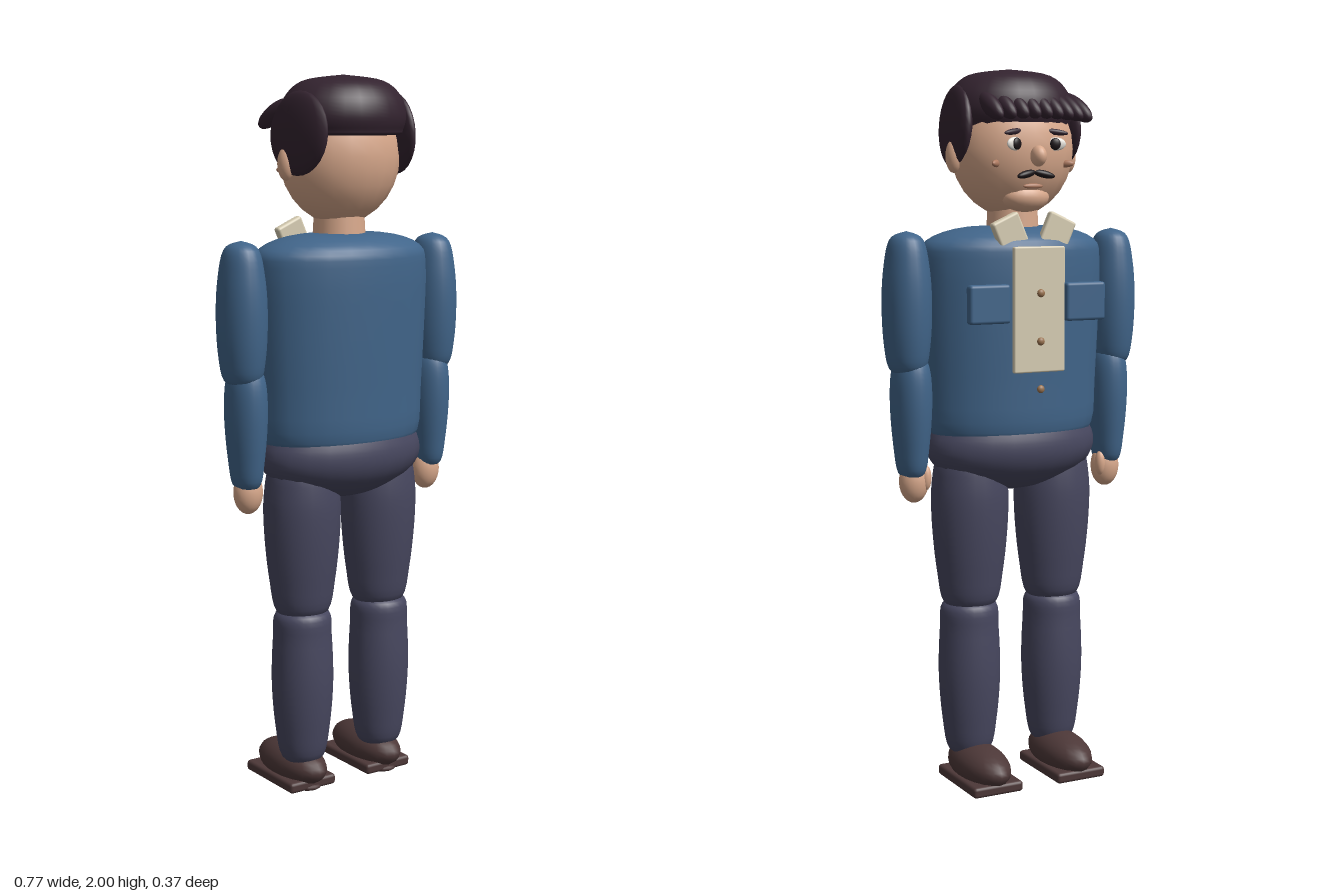
import * as THREE from 'three';
import { RoundedBoxGeometry } from 'three/addons/geometries/RoundedBoxGeometry.js';

const mat = (name, color) => {
  const m = new THREE.MeshStandardMaterial({ color });
  m.name = name;
  return m;
};

export function createModel() {
  const model = new THREE.Group();
  model.name = 'standingMan';
  const shirt = mat('shirtBlue', 0x41658a);
  const trousers = mat('trouserSlate', 0x47475f);
  const skin = mat('skin', 0xd9a98c);
  const hair = mat('hairDark', 0x33232f);
  const shoe = mat('shoeBrown', 0x4d3838);
  const cream = mat('collarCream', 0xd8ceb4);
  const white = mat('eyeWhite', 0xeeeae2);
  const dark = mat('pupilDark', 0x1c1518);
  const blush = mat('cheekTan', 0xb07c62);
  const brass = mat('buttonBrown', 0x9a7350);

  const add = (parent, name, geo, material, pos = [0, 0, 0], rot = [0, 0, 0]) => {
    const mesh = new THREE.Mesh(geo, material);
    mesh.name = name;
    mesh.position.set(...pos);
    mesh.rotation.set(...rot);
    parent.add(mesh);
    return mesh;
  };
  const ellipsoid = (parent, name, material, pos, radii, rot) => {
    const mesh = add(parent, name, new THREE.SphereGeometry(1, 20, 14), material, pos, rot);
    mesh.scale.set(...radii);
    return mesh;
  };
  // Rounded body part turned from [radius, y] points, flattened in z
  const turned = (parent, name, material, profile, pos, depth = 1, rot) => {
    const curve = new THREE.SplineCurve(profile.map(p => new THREE.Vector2(...p)));
    const pts = curve.getPoints(28);
    pts.forEach(p => { p.x = Math.max(0, p.x); });
    const mesh = add(parent, name, new THREE.LatheGeometry(pts, 24), material, pos, rot);
    mesh.scale.z = depth;
    return mesh;
  };
  const box = (parent, name, material, size, pos, rot) =>
    add(parent, name, new RoundedBoxGeometry(...size, 2, Math.min(...size) * 0.3), material, pos, rot);

  // Torso and hips
  turned(model, 'torso', shirt, [[0, 0.99], [0.19, 0.995], [0.246, 1.02], [0.256, 1.15],
    [0.266, 1.35], [0.268, 1.48], [0.25, 1.538], [0.15, 1.572], [0, 1.578]], [0, 0, 0.013], 0.6);
  turned(model, 'hips', trousers, [[0, 1.035], [0.2, 1.032], [0.243, 1.005], [0.25, 0.95],
    [0.21, 0.9], [0.12, 0.858], [0, 0.838]].reverse(), [0, 0, 0.013], 0.61);
  add(model, 'neck', new THREE.CylinderGeometry(0.068, 0.075, 0.12, 20), skin, [0, 1.59, 0.005]);

  // Shirt front
  box(model, 'placket', cream, [0.155, 0.34, 0.016], [0, 1.355, -0.15]);
  for (const y of [1.4, 1.27, 1.14])
    ellipsoid(model, 'button', brass, [0, y, -0.163], [0.011, 0.011, 0.008]);

  for (const s of [1, -1]) {
    const side = s > 0 ? 'left' : 'right';
    box(model, side + 'Collar', cream, [0.085, 0.125, 0.026], [s * 0.065, 1.545, -0.117], [0, 0, -s * 0.42]);
    box(model, side + 'Pocket', shirt, [0.122, 0.105, 0.03], [s * 0.146, 1.373, -0.14]);

    // Arm
    const arm = new THREE.Group();
    arm.name = side + 'Arm';
    model.add(arm);
    turned(arm, 'upperArm', shirt, [[0, 1.18], [0.045, 1.19], [0.061, 1.26], [0.066, 1.37],
      [0.06, 1.47], [0.043, 1.545], [0, 1.566]], [s * 0.318, 0, 0.01], 1.2);
    turned(arm, 'forearm', shirt, [[0, 0.9], [0.034, 0.905], [0.047, 0.98], [0.055, 1.09],
      [0.052, 1.18], [0.036, 1.225], [0, 1.24]], [s * 0.308, 0, 0.01], 1.26);
    ellipsoid(arm, 'hand', skin, [s * 0.302, 0.885, 0.008], [0.042, 0.06, 0.037]);
    ellipsoid(arm, 'thumb', skin, [s * 0.275, 0.895, -0.012], [0.015, 0.035, 0.016]);

    // Leg
    const leg = new THREE.Group();
    leg.name = side + 'Leg';
    model.add(leg);
    turned(leg, 'thigh', trousers, [[0, 0.515], [0.072, 0.525], [0.095, 0.62], [0.109, 0.76],
      [0.108, 0.87], [0.085, 0.95], [0, 0.98]], [s * 0.13, 0, 0.013], 0.91);
    turned(leg, 'shin', trousers, [[0, 0.09], [0.058, 0.1], [0.078, 0.19], [0.088, 0.32],
      [0.084, 0.45], [0.074, 0.525], [0, 0.54]], [s * 0.132, 0, 0.015], 0.96);
    ellipsoid(leg, 'shoe', shoe, [s * 0.13, 0.068, -0.042], [0.071, 0.058, 0.143]);
    box(leg, 'sole', shoe, [0.152, 0.03, 0.24], [s * 0.131, 0.03, -0.05]);
    ellipsoid(leg, 'tread', shoe, [s * 0.131, 0.02, -0.04], [0.06, 0.02, 0.12]);
  }

  // Head
  const head = new THREE.Group();
  head.name = 'head';
  model.add(head);
  const c = [0, 1.785, 0.007], r = [0.175, 0.185, 0.145];
  const faceZ = (x, y) => c[2] - r[2] * Math.sqrt(1 - (x / r[0]) ** 2 - ((y - c[1]) / r[1]) ** 2);
  ellipsoid(head, 'skull', skin, c, r);
  ellipsoid(head, 'chin', skin, [0, 1.655, -0.07], [0.07, 0.04, 0.045]);
  ellipsoid(head, 'nose', skin, [0, 1.765, -0.147], [0.021, 0.028, 0.027]);
  ellipsoid(head, 'mouth', blush, [0, 1.685, faceZ(0, 1.685) - 0.001], [0.03, 0.007, 0.006]);
  for (const s of [1, -1]) {
    ellipsoid(head, 'ear', skin, [s * 0.176, 1.765, 0.01], [0.022, 0.045, 0.025]);
    const turn = s * 0.3;
    ellipsoid(head, 'eyeWhite', white, [s * 0.06, 1.797, faceZ(0.06, 1.797)], [0.03, 0.018, 0.008], [0, turn, 0]);
    ellipsoid(head, 'pupil', dark, [s * 0.058, 1.797, faceZ(0.058, 1.797) - 0.005], [0.015, 0.016, 0.007], [0, turn, 0]);
    ellipsoid(head, 'eyebrow', hair, [s * 0.062, 1.829, faceZ(0.062, 1.829) - 0.002], [0.036, 0.008, 0.008], [0, turn, -s * 0.12]);
    ellipsoid(head, 'moustache', dark, [s * 0.026, 1.717, faceZ(0.026, 1.717) - 0.003], [0.032, 0.01, 0.011], [0, s * 0.2, -s * 0.22]);
    ellipsoid(head, 'cheek', blush, [s * 0.105, 1.745, faceZ(0.105, 1.745)], [0.024, 0.01, 0.008], [0, s * 0.7, 0]);
  }

  // Hair: flat-bottomed cap, side tufts and a swept fringe
  turned(head, 'hairCap', hair, [[0, 1.84], [0.15, 1.84], [0.172, 1.855], [0.18, 1.895],
    [0.162, 1.945], [0.11, 1.985], [0, 2]], [0, 0, 0.025], 0.88);
  for (const s of [1, -1])
    ellipsoid(head, 'sideHair', hair, [s * 0.155, 1.845, 0.042], [0.03, 0.112, 0.113], [0, -s * 0.12, s * 0.06]);
  for (let i = 0; i < 9; i++) {
    const x = -0.158 + i * 0.034;
    const back = 0.04 * (x / 0.16) ** 2;
    ellipsoid(head, 'fringeLock', hair, [x, 1.905 - 0.2 * back, -0.098 + back * 0.8],
      [0.023, 0.027, 0.068], [-0.55, 0.25 - i * 0.015, 0]);
  }
  return model;
}
